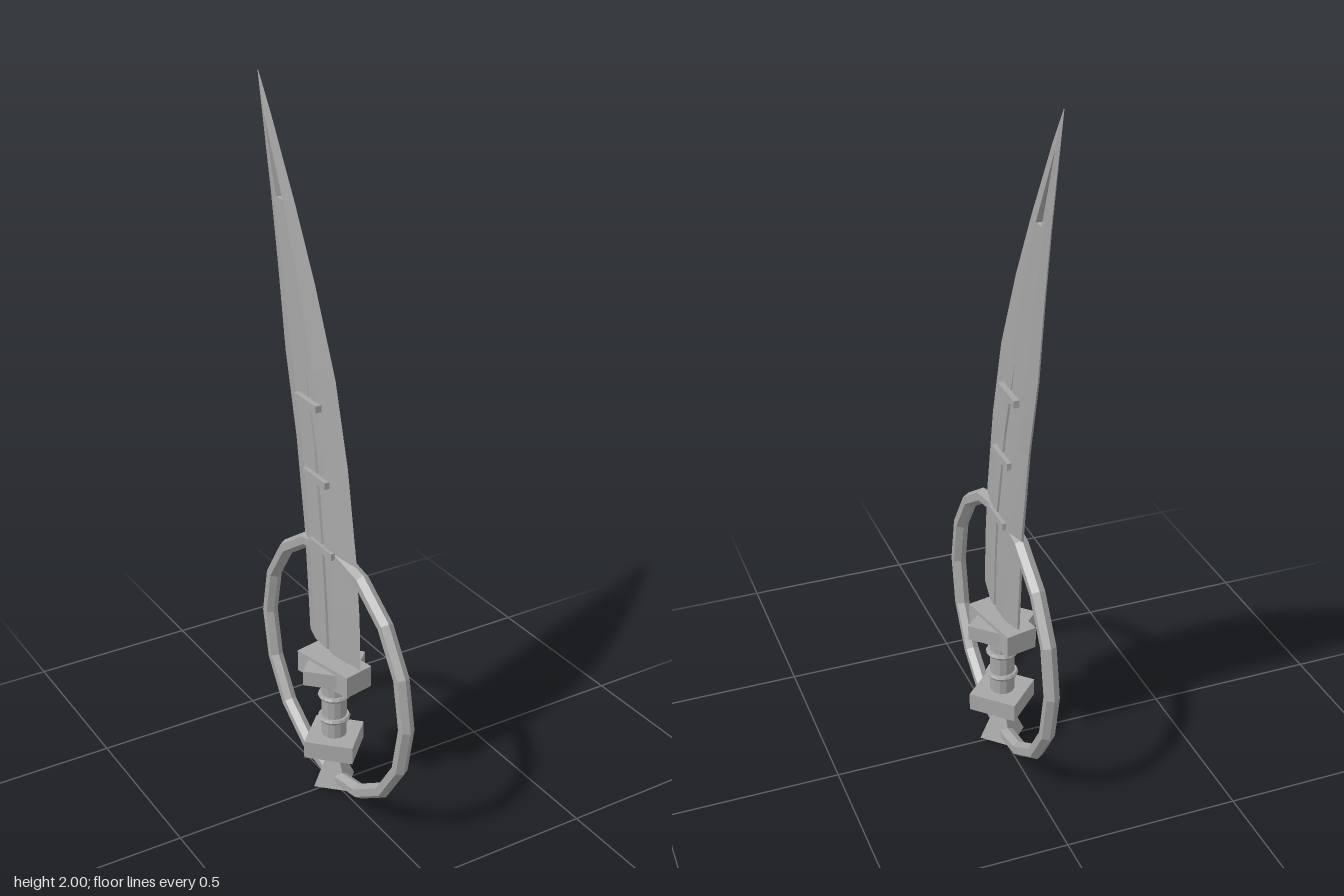
import * as THREE from 'three';

const steel = new THREE.MeshStandardMaterial({ color: 0xa6a6a6, flatShading: true });
steel.name = 'grey steel';

// Lofts a mirrored cross-section upward.
// sections: [y, zFront, zBack, halfThickness]; profile(y): list of [front-to-back fraction, thickness factor]
function loft(sections, profile) {
  const pos = [];
  const tri = (...p) => p.forEach(v => pos.push(...v));
  const quad = (a, b, c, d) => tri(a, b, c, a, c, d);
  const rows = sections.map(([y, zf, zb, h]) => {
    const side = s => profile(y).map(([f, k]) => [s * h * k, y, zf + (zb - zf) * f]);
    return { r: side(1), l: side(-1) };
  });
  const n = rows[0].r.length;
  for (let j = 0; j < rows.length - 1; j++) {
    const a = rows[j], b = rows[j + 1];
    for (let i = 0; i < n - 1; i++) {
      quad(a.r[i], a.r[i + 1], b.r[i + 1], b.r[i]);
      quad(a.l[i + 1], a.l[i], b.l[i], b.l[i + 1]);
    }
    // flat end walls where the profile is not sharp
    quad(a.l[0], a.r[0], b.r[0], b.l[0]);
    quad(a.r[n - 1], a.l[n - 1], b.l[n - 1], b.r[n - 1]);
  }
  const lo = rows[0], hi = rows[rows.length - 1];
  for (let i = 0; i < n - 1; i++) {
    quad(lo.l[i], lo.l[i + 1], lo.r[i + 1], lo.r[i]);
    quad(hi.r[i], hi.r[i + 1], hi.l[i + 1], hi.l[i]);
  }
  const g = new THREE.BufferGeometry();
  g.setAttribute('position', new THREE.Float32BufferAttribute(pos, 3));
  g.computeVertexNormals();
  return g;
}

export function createModel() {
  const model = new THREE.Group();
  model.name = 'curvedSword';

  const add = (name, geometry, y = 0, parent = model) => {
    const m = new THREE.Mesh(geometry, steel);
    m.name = name;
    m.position.y = y;
    parent.add(m);
    return m;
  };
  const cyl = (name, rTop, rBottom, y0, y1, sides) =>
    add(name, new THREE.CylinderGeometry(rTop, rBottom, y1 - y0, sides), (y0 + y1) / 2);

  // Blade: sharp front edge, bevelled back, narrow groove that fades out above the bars
  const blade = new THREE.Group();
  blade.name = 'blade';
  model.add(blade);
  const bladeProfile = y => {
    const g = y < 1.25 ? 0.55 : 0.97;
    return [[0, 0], [0.38, 1], [0.49, 1], [0.5, g], [0.53, g], [0.54, 1], [0.8, 0.9], [1, 0.15]];
  };
  add('bladeBody', loft([
    [0.46, 0.14, -0.127, 0.021],
    [0.62, 0.133, -0.14, 0.022],
    [0.78, 0.116, -0.155, 0.022],
    [1.04, 0.07, -0.197, 0.017],
    [1.27, 0.007, -0.252, 0.013],
    [1.5, -0.095, -0.287, 0.011],
    [1.69, -0.195, -0.32, 0.009],
  ], bladeProfile), 0, blade);

  // Two prongs around the slot, joined by the tip
  add('frontProng', loft([
    [1.69, -0.195, -0.245, 0.009],
    [1.9, -0.316, -0.348, 0.005],
  ], () => [[0, 0], [0.9, 1], [1, 1]]), 0, blade);
  add('backProng', loft([
    [1.69, -0.281, -0.32, 0.009],
    [1.9, -0.348, -0.363, 0.005],
  ], () => [[0, 1], [0.2, 1], [1, 0.15]]), 0, blade);
  add('bladeTip', loft([
    [1.9, -0.316, -0.363, 0.005],
    [2, -0.38, -0.384, 0.0005],
  ], () => [[0, 0], [0.6, 1], [1, 0.15]]), 0, blade);

  // Short bars through the blade
  for (const [y, z] of [[0.77, -0.025], [0.97, -0.057], [1.175, -0.103]]) {
    add('bladeBar', new THREE.BoxGeometry(0.06, 0.02, 0.116), y).position.z = z;
  }

  // Large faceted ring around the hilt
  add('ring', new THREE.TorusGeometry(0.37, 0.022, 6, 16), 0.4).rotation.y = Math.PI / 2;

  // Upper guard: turned block crossed by a diamond plate
  add('guardBlock', new THREE.BoxGeometry(0.094, 0.065, 0.202), 0.393).rotation.y = 0.212;
  cyl('guardDiamond', 0.102, 0.102, 0.37, 0.415, 4);

  // Grip with collars and bands
  cyl('grip', 0.036, 0.036, 0.17, 0.37, 12);
  cyl('upperCollar', 0.044, 0.04, 0.345, 0.37, 12);
  for (const y of [0.235, 0.308]) {
    add('gripBand', new THREE.TorusGeometry(0.039, 0.008, 6, 14), y).rotation.x = Math.PI / 2;
  }

  // Lower guard and flared pommel
  cyl('lowerGuard', 0.1, 0.1, 0.125, 0.178, 4);
  cyl('pommel', 0.014, 0.068, 0.012, 0.13, 4);
  cyl('pommelFoot', 0.04, 0.04, 0, 0.014, 4);

  return model;
}
